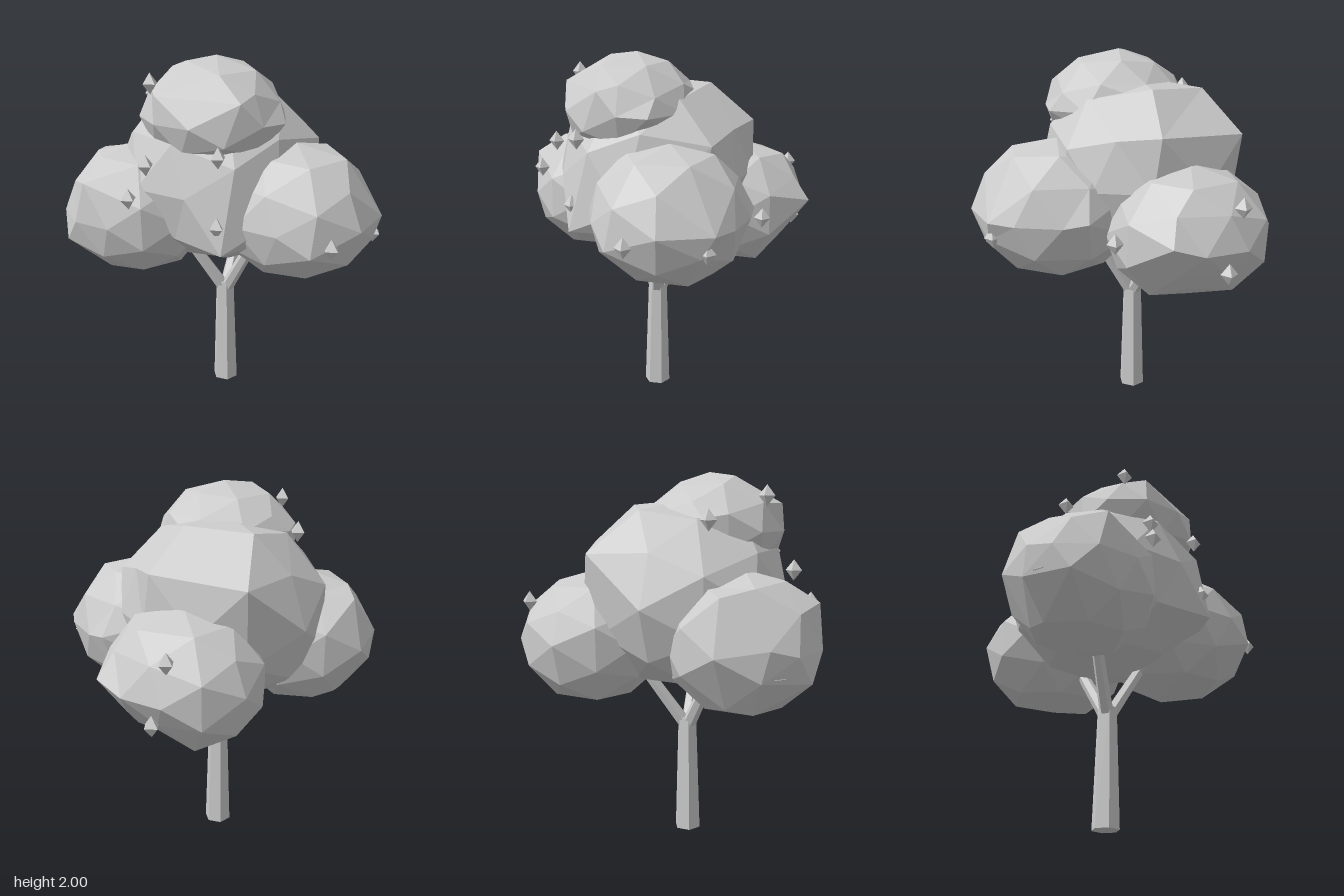
import * as THREE from 'three';
import { mergeVertices } from 'three/addons/utils/BufferGeometryUtils.js';

const grey = new THREE.MeshStandardMaterial({ color: 0xcccccc, flatShading: true });
grey.name = 'grey';

function addMesh(parent, name, geometry) {
  const mesh = new THREE.Mesh(geometry, grey);
  mesh.name = name;
  parent.add(mesh);
  return mesh;
}

// Faceted leaf clump: a scaled icosphere with a slight ripple, whose nearest corners are pulled to a few points
function addClump(parent, name, centre, radii, pulls) {
  const ball = new THREE.IcosahedronGeometry(1, 1);
  ball.deleteAttribute('normal');
  ball.deleteAttribute('uv');
  const geometry = mergeVertices(ball, 1e-4);
  const pos = geometry.attributes.position;
  const c = new THREE.Vector3(...centre);
  const r = new THREE.Vector3(...radii);
  const corners = [];
  for (let i = 0; i < pos.count; i++) {
    const ripple = 1 + 0.02 * Math.sin(i * 7.3);
    corners.push(new THREE.Vector3().fromBufferAttribute(pos, i).multiply(r).multiplyScalar(ripple));
  }
  const free = new Set(corners);
  for (const pull of pulls) {
    const p = new THREE.Vector3(...pull).sub(c);
    const nearest = [...free].reduce((a, b) => (b.angleTo(p) < a.angleTo(p) ? b : a));
    nearest.copy(p);
    free.delete(nearest);
  }
  corners.forEach((v, i) => pos.setXYZ(i, v.x, v.y, v.z));
  const flat = geometry.toNonIndexed();
  flat.computeVertexNormals();
  addMesh(parent, name, flat).position.copy(c);
}

// Tapered six-sided limb between two points
function addLimb(parent, name, from, to, r0, r1) {
  const a = new THREE.Vector3(...from);
  const b = new THREE.Vector3(...to);
  const d = b.clone().sub(a);
  const geometry = new THREE.CylinderGeometry(r1, r0, d.length(), 6);
  geometry.rotateY(Math.PI / 6);
  const limb = addMesh(parent, name, geometry);
  limb.position.copy(a).add(b).multiplyScalar(0.5);
  limb.quaternion.setFromUnitVectors(new THREE.Vector3(0, 1, 0), d.normalize());
}

export function createModel() {
  const tree = new THREE.Group();
  tree.name = 'tree';

  // Trunk and three forking branches
  addLimb(tree, 'trunk', [-0.032, 0, -0.124], [-0.03, 0.66, -0.122], 0.075, 0.054);
  const branchEnds = { rightBranch: [-0.2, 0.91, -0.22], leftBranch: [0.17, 0.92, -0.22], frontBranch: [0, 0.92, 0.07] };
  for (const [name, end] of Object.entries(branchEnds)) {
    addLimb(tree, name, [-0.03, 0.6, -0.12], end, 0.04, 0.032);
  }

  // Leaf clumps
  addClump(tree, 'mainFoliage', [-0.04, 1.35, -0.14], [0.56, 0.51, 0.57],
    [[0.26, 1.83, -0.17], [0.08, 1.81, -0.47], [0.29, 1.6, -0.64], [0.5, 1.63, -0.18],
      [-0.43, 1.08, 0.34], [0.32, 1.55, 0.27], [-0.12, 1.22, 0.42]]);
  addClump(tree, 'frontFoliage', [0.11, 1.2, 0.31], [0.43, 0.37, 0.46],
    [[0.12, 1.2, 0.775], [-0.15, 1.1, 0.69], [0.39, 1.2, 0.68], [0.54, 1.22, 0.18], [0.1, 0.84, 0.22]]);
  addClump(tree, 'leftFoliage', [0.42, 1.13, -0.34], [0.4, 0.36, 0.43],
    [[0.83, 1.18, -0.18], [0.42, 1.15, -0.77], [0.67, 1.42, -0.3], [0.69, 0.98, -0.22],
      [0.7, 1.0, -0.47], [0.57, 0.87, -0.32]]);
  addClump(tree, 'rightFoliage', [-0.44, 1.16, -0.37], [0.4, 0.37, 0.4],
    [[-0.83, 1.02, -0.5], [-0.81, 1.38, -0.32], [-0.68, 1.2, -0.69], [-0.44, 1.43, -0.71], [-0.44, 0.88, -0.62]]);
  addClump(tree, 'topFoliage', [-0.16, 1.7, -0.04], [0.38, 0.29, 0.39],
    [[-0.13, 2, -0.05], [-0.29, 1.98, -0.1], [-0.53, 1.84, -0.04], [0.2, 1.79, -0.08],
      [0, 1.69, 0.34], [-0.27, 1.82, 0.31], [-0.24, 1.77, -0.42]]);

  // Small pointed fruit on the foliage
  const fruitGeometry = new THREE.OctahedronGeometry(1);
  fruitGeometry.scale(0.044, 0.055, 0.044);
  const fruits = [
    [-0.7, 1.34, -0.06], [-0.6, 1.5, -0.04], [-0.39, 1.57, 0.28], [-0.42, 1.22, 0.3],
    [-0.045, 1.14, 0.73], [0.35, 1.11, 0.66], [0.58, 1.13, 0.06], [0.74, 1.01, -0.475],
    [0.7, 1.33, -0.54], [-0.48, 1.88, -0.15], [-0.28, 1.765, -0.44], [-0.69, 1.06, -0.61],
  ];
  for (const p of fruits) addMesh(tree, 'fruit', fruitGeometry).position.set(...p);

  return tree;
}
